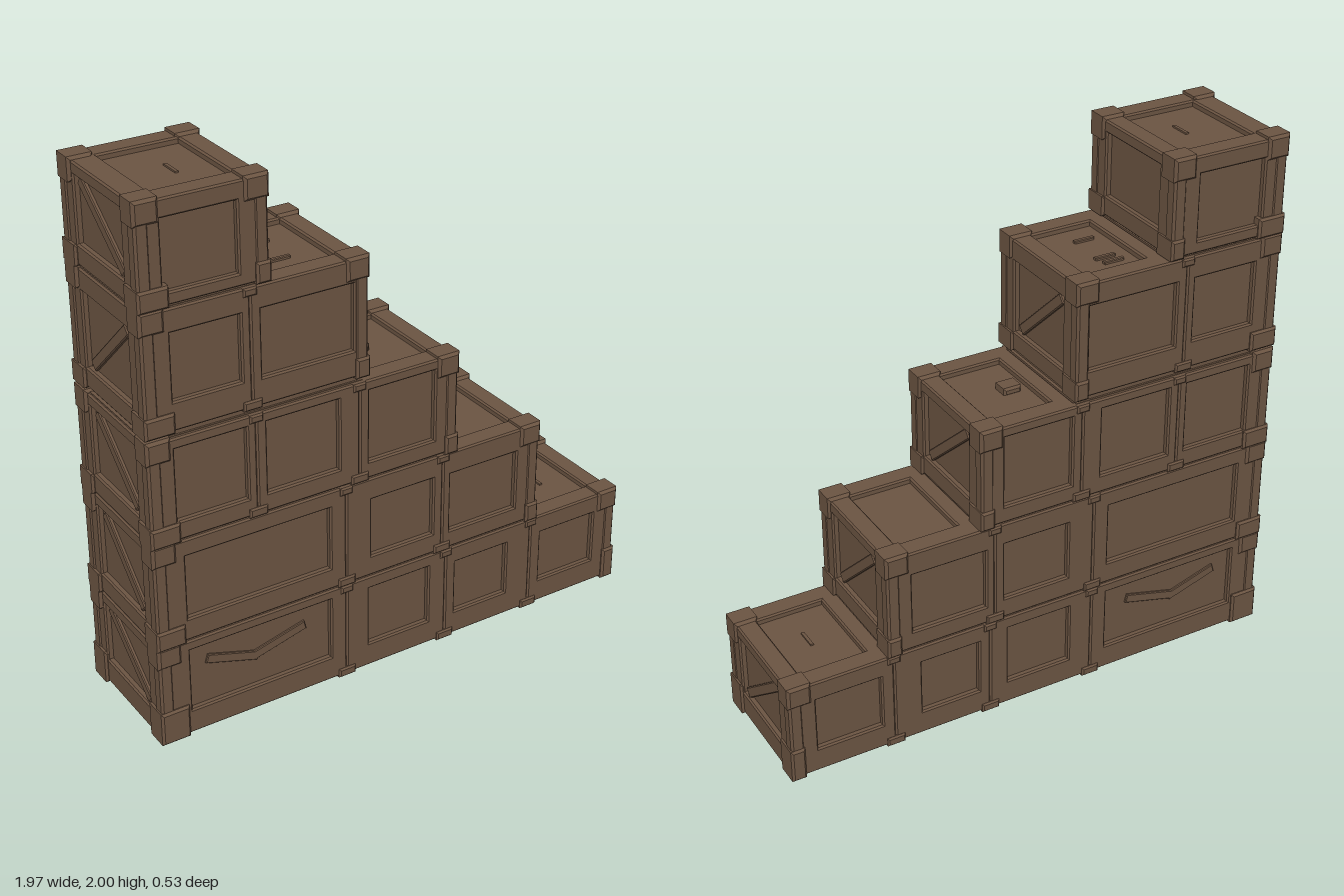
import * as THREE from 'three';

const BEVEL = 0.006;
const HALF_DEPTH = 0.255;
const INSET = 0.022;

// Each row: bottom, top, right end, and crates as [x0, x1, panel x0, y0, x1, y1]
const ROWS = [
  { y0: 0.005, y1: 0.385, end: 0.975, crates: [
    [-0.975, -0.235, -0.86, 0.1, -0.3, 0.345], [-0.235, 0.19, -0.14, 0.1, 0.115, 0.335],
    [0.19, 0.575, 0.235, 0.1, 0.465, 0.315], [0.575, 0.975, 0.625, 0.1, 0.875, 0.31]] },
  { y0: 0.39, y1: 0.785, end: 0.59, crates: [
    [-0.975, -0.235, -0.86, 0.475, -0.3, 0.72], [-0.235, 0.17, -0.13, 0.47, 0.13, 0.7],
    [0.17, 0.59, 0.205, 0.46, 0.495, 0.695]] },
  { y0: 0.79, y1: 1.17, end: 0.22, crates: [
    [-0.975, -0.58, -0.88, 0.86, -0.615, 1.13], [-0.58, -0.18, -0.54, 0.86, -0.26, 1.13],
    [-0.18, 0.22, -0.14, 0.855, 0.13, 1.13]] },
  { y0: 1.195, y1: 1.625, end: -0.15, crates: [
    [-0.975, -0.59, -0.875, 1.3, -0.625, 1.54], [-0.59, -0.15, -0.55, 1.295, -0.2, 1.54]] },
  { y0: 1.635, y1: 1.99, end: -0.52, crates: [
    [-0.975, -0.52, -0.89, 1.68, -0.625, 1.925]] },
];

// Rotation of a flat part, and the sign of its local axes, for each side of the stack
const SIDES = {
  front: { rot: [0, 0, 0], normal: [0, 0, 1], flip: 1 },
  back: { rot: [0, Math.PI, 0], normal: [0, 0, -1], flip: -1 },
  right: { rot: [0, Math.PI / 2, 0], normal: [1, 0, 0], flip: 1 },
  left: { rot: [0, -Math.PI / 2, 0], normal: [-1, 0, 0], flip: 1 },
  top: { rot: [-Math.PI / 2, 0, 0], normal: [0, 1, 0], flip: 1 },
  bottom: { rot: [Math.PI / 2, 0, 0], normal: [0, -1, 0], flip: 1 },
};

function rectPath(target, [u0, v0, u1, v1]) {
  target.moveTo(u0, v0);
  target.lineTo(u1, v0);
  target.lineTo(u1, v1);
  target.lineTo(u0, v1);
  target.closePath();
  return target;
}

// Box with chamfered edges around its outline
function chamferBox(w, h, d, b) {
  const shape = rectPath(new THREE.Shape(), [-w / 2, -h / 2, w / 2, h / 2]);
  const geo = new THREE.ExtrudeGeometry(shape, {
    depth: d - 2 * b, bevelThickness: b, bevelSize: b, bevelOffset: -b, bevelSegments: 1 });
  return geo.translate(0, 0, b - d / 2);
}

export function createModel() {
  const model = new THREE.Group();
  model.name = 'crateStack';
  const wood = new THREE.MeshStandardMaterial({ color: 0x6b5442 });
  wood.name = 'brown wood';

  function add(name, geo, x, y, z, parent = model) {
    const mesh = new THREE.Mesh(geo, wood);
    mesh.name = name;
    mesh.position.set(x, y, z);
    parent.add(mesh);
    return mesh;
  }

  // Bevelled frame around a recessed panel; level is the distance of its outer surface
  function frame(name, side, outer, hole, level, parent) {
    const s = SIDES[side];
    const turn = ([a, b, c, d]) => (s.flip < 0 ? [-c, b, -a, d] : [a, b, c, d]);
    const shape = rectPath(new THREE.Shape(), turn(outer));
    shape.holes.push(rectPath(new THREE.Path(), turn(hole)));
    const geo = new THREE.ExtrudeGeometry(shape, {
      depth: INSET, bevelThickness: BEVEL, bevelSize: BEVEL, bevelOffset: -BEVEL, bevelSegments: 1 });
    geo.translate(0, 0, level - INSET - BEVEL);
    const mesh = add(name, geo, 0, 0, 0, parent);
    mesh.rotation.set(...s.rot);
    return mesh;
  }

  // Diagonal plank lying in the recess of an end panel
  function brace(side, end, yMid, slope, parent) {
    const plank = chamferBox(0.36, 0.04, 0.018, 0.004);
    plank.rotateZ(slope);
    const mesh = add('diagonalBrace', plank, end, yMid, 0, parent);
    mesh.rotation.set(...SIDES[side].rot);
  }

  ROWS.forEach((row, i) => {
    const { y0, y1, end } = row;
    const left = -0.975;
    const height = y1 - y0;
    const group = new THREE.Group();
    group.name = 'crateRow' + (i + 1);
    model.add(group);

    // Solid body whose faces form the recessed panels
    const bottom = i === 0 ? y0 + 0.015 : y0 - 0.03;
    const top = y1 - INSET;
    add('panels', new THREE.BoxGeometry(end - left - 2 * INSET, top - bottom, 2 * (HALF_DEPTH - INSET)),
      (left + end) / 2, (top + bottom) / 2, 0, group);

    // Front and back frames, one per crate
    for (const [x0, x1, px0, py0, px1, py1] of row.crates) {
      for (const side of ['front', 'back']) {
        frame(side + 'Frame', side, [x0, y0, x1, y1], [px0, py0, px1, py1], HALF_DEPTH, group);
      }
      if (i === 0) {
        frame('undersideFrame', 'bottom', [x0, -HALF_DEPTH, x1, HALF_DEPTH],
          [x0 + 0.06, -0.19, x1 - 0.06, 0.19], -y0, group);
      }
    }

    // End frames and braces
    const py0 = y0 + (i === 0 ? 0.095 : 0.075);
    const py1 = y1 - (i === 3 ? 0.08 : 0.045);
    const slope = Math.atan2(py1 - py0 - 0.03, 0.27);
    for (const side of ['right', 'left']) {
      frame(side + 'EndFrame', side, [-HALF_DEPTH + 0.004, y0, HALF_DEPTH - 0.004, y1],
        [-0.165, py0, 0.16, py1], side === 'right' ? end : -left, group);
    }
    if (i < 4) brace('right', end - INSET + 0.004, (py0 + py1) / 2, slope, group);
    brace('left', left + INSET - 0.004, (py0 + py1) / 2, i === 3 ? slope : -slope, group);

    // Lid frame on the uncovered crate, and a hidden lid strip under the row above
    const next = ROWS[i + 1];
    const lidStart = next ? next.end : left;
    frame('lidFrame', 'top', [lidStart - (next ? 0.01 : 0), -HALF_DEPTH, end, HALF_DEPTH],
      [lidStart + (next ? 0.055 : 0.09), -0.175, end - 0.075, 0.175], y1, group);
    if (next) {
      add('coveredLid', new THREE.BoxGeometry(lidStart - left - 0.02, INSET + 0.01, 2 * HALF_DEPTH - 0.03),
        (left + lidStart) / 2, y1 - 0.014, 0, group);
    }

    // Corner caps at both ends
    for (const sx of [-1, 1]) {
      for (const sz of [-1, 1]) {
        const edge = sx < 0 ? -0.985 : end + 0.008;
        const lowH = i === 0 ? 0.13 : 0.075;
        const lowW = sx < 0 ? 0.11 : 0.055;
        add('lowerCornerCap', chamferBox(lowW, lowH, 0.1, 0.008),
          edge - sx * lowW / 2, y0 - 0.005 + lowH / 2, sz * 0.217, group);
        const upW = 0.09;
        add('upperCornerCap', chamferBox(upW, 0.085, 0.09, 0.01),
          edge - sx * upW / 2, y1 + 0.01 - 0.0425, sz * 0.219, group);
        // Upright post between the caps
        add('cornerPost', chamferBox(0.05, height - 0.1, 0.05, 0.008),
          edge - sx * 0.03, (y0 + y1) / 2, sz * 0.234, group);
      }
    }

    // Small straps where neighbouring crates meet
    row.crates.slice(1).forEach(([x]) => {
      for (const sz of [-1, 1]) {
        add('lowerStrap', chamferBox(0.07, 0.035, 0.04, 0.006), x, y0 + 0.0125, sz * 0.242, group);
        add('upperStrap', chamferBox(0.05, 0.03, 0.04, 0.006), x, y1 - 0.015, sz * 0.242, group);
      }
    });
  });

  // Latch and slats on the lids
  add('lidLatch', chamferBox(0.07, 0.03, 0.07, 0.008), -0.03, 1.158, 0, model);
  for (const [x, z] of [[-0.38, -0.11], [-0.37, -0.07], [-0.38, 0.08]]) {
    add('lidSlat', chamferBox(0.08, 0.014, 0.018, 0.003), x, 1.606, z);
  }
  for (const [x, y] of [[0.78, 0.363], [-0.72, 1.968]]) {
    add('lidNotch', new THREE.BoxGeometry(0.012, 0.012, 0.08), x, y, 0.01);
  }

  // Split plank across the wide lower crate
  for (const sz of [-1, 1]) {
    for (const [x, angle] of [[-0.69, -0.3], [-0.5, 0.25]]) {
      const splinter = add('splitPlank', chamferBox(0.21, 0.035, 0.012, 0.003), x, 0.245, sz * 0.236);
      splinter.rotation.z = angle;
    }
  }
  return model;
}
